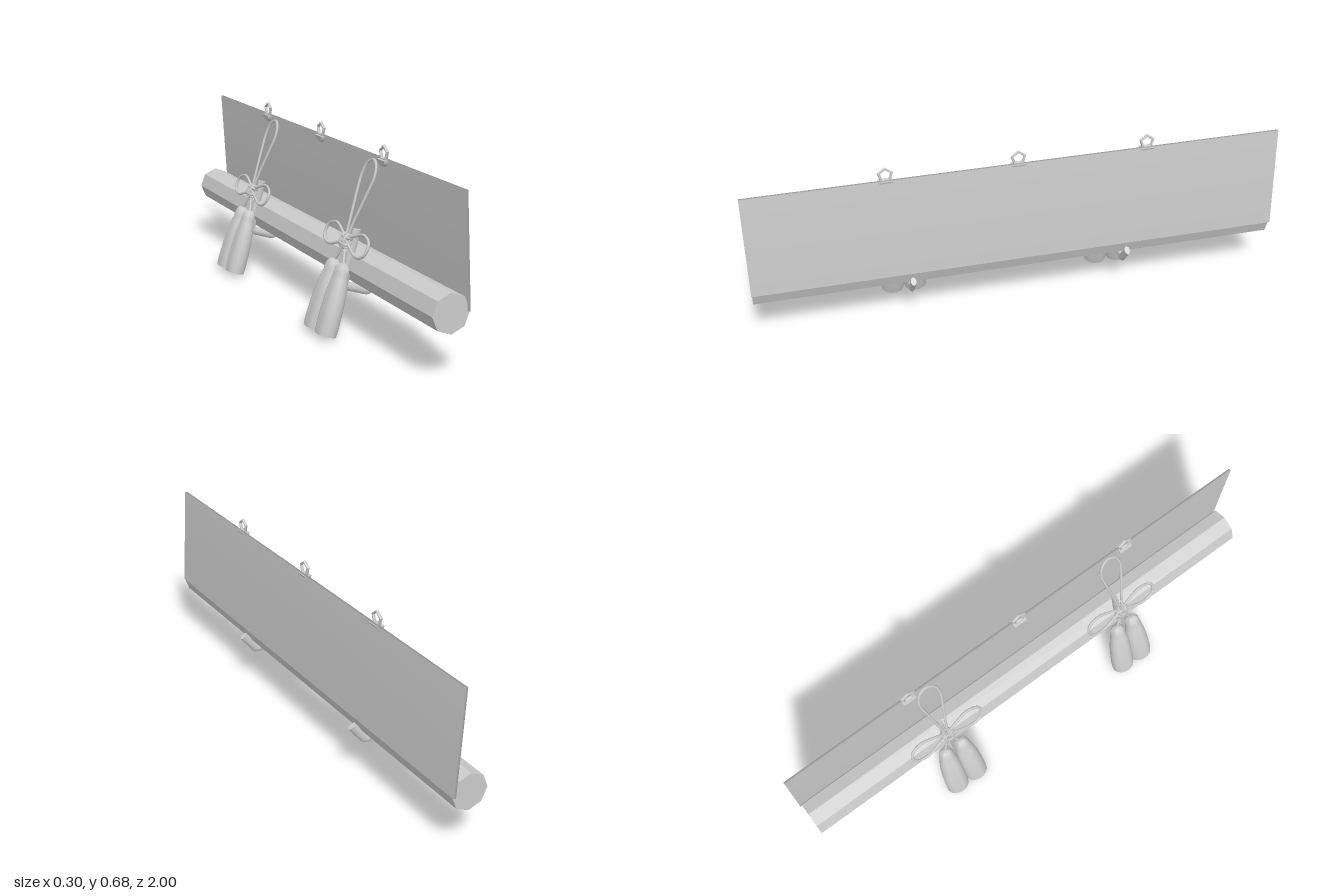
import * as THREE from 'three';
import { mergeVertices, toCreasedNormals } from 'three/addons/utils/BufferGeometryUtils.js';

const material = new THREE.MeshStandardMaterial({ color: 0xcccccc, side: THREE.DoubleSide });
const flatMaterial = new THREE.MeshStandardMaterial({ color: 0xcccccc, flatShading: true, side: THREE.DoubleSide });
const V = (x, y, z = 0) => new THREE.Vector3(x, y, z);

function add(parent, name, geometry, mat = material) {
  const mesh = new THREE.Mesh(geometry, mat);
  mesh.name = name;
  parent.add(mesh);
  return mesh;
}

function cord(parent, name, points, closed = false, radius = 0.0055) {
  const curve = new THREE.CatmullRomCurve3(points, closed);
  return add(parent, name, new THREE.TubeGeometry(curve, 48, radius, 6, closed));
}

// Thin hanging sheet, leaning outwards at the bottom, with soft shared normals
function addSheet(parent) {
  let g = new THREE.BoxGeometry(0.01, 0.396, 2);
  const p = g.attributes.position;
  for (let i = 0; i < p.count; i++) {
    p.setXYZ(i, p.getX(i) + (p.getY(i) > 0 ? 0.095 : 0.119), p.getY(i) + 0.428, p.getZ(i));
  }
  g.deleteAttribute('normal');
  g.deleteAttribute('uv');
  g = mergeVertices(g);
  g.computeVertexNormals();
  add(parent, 'sheet', g);
}

// Octagonal roll along the lower edge
function addRoll(parent) {
  const roll = add(parent, 'roll', new THREE.CylinderGeometry(0.07, 0.07, 1.99, 8), flatMaterial);
  roll.rotation.order = 'ZXY';
  roll.rotation.set(Math.PI / 2, 0, 0.03);
  roll.position.set(0.054, 0.231, 0.002);
}

// Pentagonal hanging ring on a tab folded over the top edge
function addHanger(parent, z) {
  const hanger = new THREE.Group();
  hanger.name = 'hanger';
  const ring = add(hanger, 'ring', new THREE.TorusGeometry(0.025, 0.006, 6, 5), flatMaterial);
  ring.rotation.set(0, Math.PI / 2, 0);
  ring.geometry.rotateZ(Math.PI / 2);
  ring.position.set(0.088, 0.646, 0);

  const half = new THREE.Shape();
  half.absarc(0, 0, 0.026, Math.PI, Math.PI * 2, false);
  half.closePath();
  const g = new THREE.ExtrudeGeometry(half, { depth: 0.03, bevelEnabled: false, curveSegments: 6 });
  g.translate(0, 0, -0.015);
  const p = g.attributes.position;
  for (let i = 0; i < p.count; i++) p.setZ(i, p.getZ(i) * (1 + p.getY(i) / 0.04));
  g.computeVertexNormals();
  const tab = add(hanger, 'tab', g, flatMaterial);
  tab.rotation.y = Math.PI / 2;
  tab.position.set(0.088, 0.624, 0);
  hanger.position.z = z;
  parent.add(hanger);
}

// Bent bracket that cradles the roll, flattened along z
function addHook(parent) {
  const corners = [V(0.026, 0.367), V(-0.024, 0.168), V(0.08, 0.133), V(0.139, 0.206)];
  const path = new THREE.CurvePath();
  let from = corners[0];
  for (let i = 1; i < corners.length - 1; i++) {
    const a = corners[i].clone().lerp(corners[i - 1], 0.017 / corners[i].distanceTo(corners[i - 1]));
    const b = corners[i].clone().lerp(corners[i + 1], 0.017 / corners[i].distanceTo(corners[i + 1]));
    path.add(new THREE.LineCurve3(from, a));
    path.add(new THREE.QuadraticBezierCurve3(a, corners[i], b));
    from = b;
  }
  path.add(new THREE.LineCurve3(from, corners[3]));
  const hook = new THREE.Group();
  hook.name = 'hook';
  add(hook, 'hookBar', new THREE.TubeGeometry(path, 40, 0.0165, 8));
  for (const [end, next] of [[corners[0], corners[1]], [corners[3], corners[2]]]) {
    const cap = add(hook, 'hookEnd', new THREE.CircleGeometry(0.0165, 8));
    cap.position.copy(end);
    cap.quaternion.setFromUnitVectors(V(0, 0, 1), end.clone().sub(next).normalize());
  }
  hook.scale.z = 0.65;
  parent.add(hook);
}

// Tassel: rounded cap, pinched neck and a slowly flaring skirt
function addTassel(parent, side) {
  const profile = [[0, 0], [0.0365, 0], [0.0385, 0.03], [0.038, 0.09], [0.035, 0.15], [0.029, 0.2],
    [0.026, 0.213], [0.026, 0.225], [0.023, 0.243], [0.015, 0.256], [0, 0.261]];
  const g = toCreasedNormals(new THREE.LatheGeometry(profile.map(([r, y]) => new THREE.Vector2(r, y)), 14), 0.9);
  g.scale(1, 1, 1.2);
  const bottom = V(-0.118, 0.012, side * 0.045);
  const top = V(-0.041, 0.262, side * 0.035);
  const tassel = add(parent, 'tassel', g);
  tassel.position.copy(bottom);
  tassel.quaternion.setFromUnitVectors(V(0, 1, 0), top.clone().sub(bottom).normalize());
  cord(parent, 'tasselCord', [top.clone().add(V(-0.002, -0.008)), V(-0.03, 0.295, side * 0.016), V(-0.018, 0.335, side * 0.004)]);
}

// Bow of cord: long upper loop, two side petals and a woven knot
function addBow(parent) {
  const rise = [[-0.02, 0.325, 0.004], [0.005, 0.395, 0.014], [0.04, 0.485, 0.033],
    [0.068, 0.555, 0.044], [0.083, 0.595, 0.03]];
  const up = rise.map(([x, y, z]) => V(x, y, z));
  const down = rise.map(([x, y, z]) => V(x, y, -z)).reverse();
  cord(parent, 'longLoop', [...up, V(0.089, 0.61), ...down]);

  for (const side of [-1, 1]) {
    const petal = [[0.006, 0], [0.05, 0.026], [0.105, 0.042], [0.148, 0.026],
      [0.156, 0], [0.142, -0.028], [0.1, -0.038], [0.05, -0.022]];
    cord(parent, 'sideLoop', petal.map(([z, t]) => V(-0.017 + t * 0.4, 0.333 + t * 0.91, side * z)), true);
  }

  const knot = new THREE.Group();
  knot.name = 'knot';
  for (const [y, z, turn] of [[0.013, 0, 0], [-0.013, 0, 0], [0, 0.013, 1], [0, -0.013, 1]]) {
    const wrap = add(knot, 'knotWrap', new THREE.TorusGeometry(0.02, 0.0055, 6, 10));
    if (turn) wrap.scale.set(0.8, 1.2, 1);
    else {
      wrap.rotation.x = Math.PI / 2;
      wrap.scale.set(0.8, 1.2, 1);
    }
    wrap.position.set(0, y, z);
  }
  knot.position.set(-0.018, 0.33, 0);
  knot.rotation.z = -0.38;
  parent.add(knot);
}

export function createModel() {
  const model = new THREE.Group();
  model.name = 'rolledBlind';
  addSheet(model);
  addRoll(model);
  for (const z of [0.487, 0.003, -0.483]) addHanger(model, z);
  for (const z of [0.413, -0.413]) {
    const set = new THREE.Group();
    set.name = 'tasselSet';
    addHook(set);
    addBow(set);
    addTassel(set, 1);
    addTassel(set, -1);
    set.position.z = z;
    model.add(set);
  }
  return model;
}
